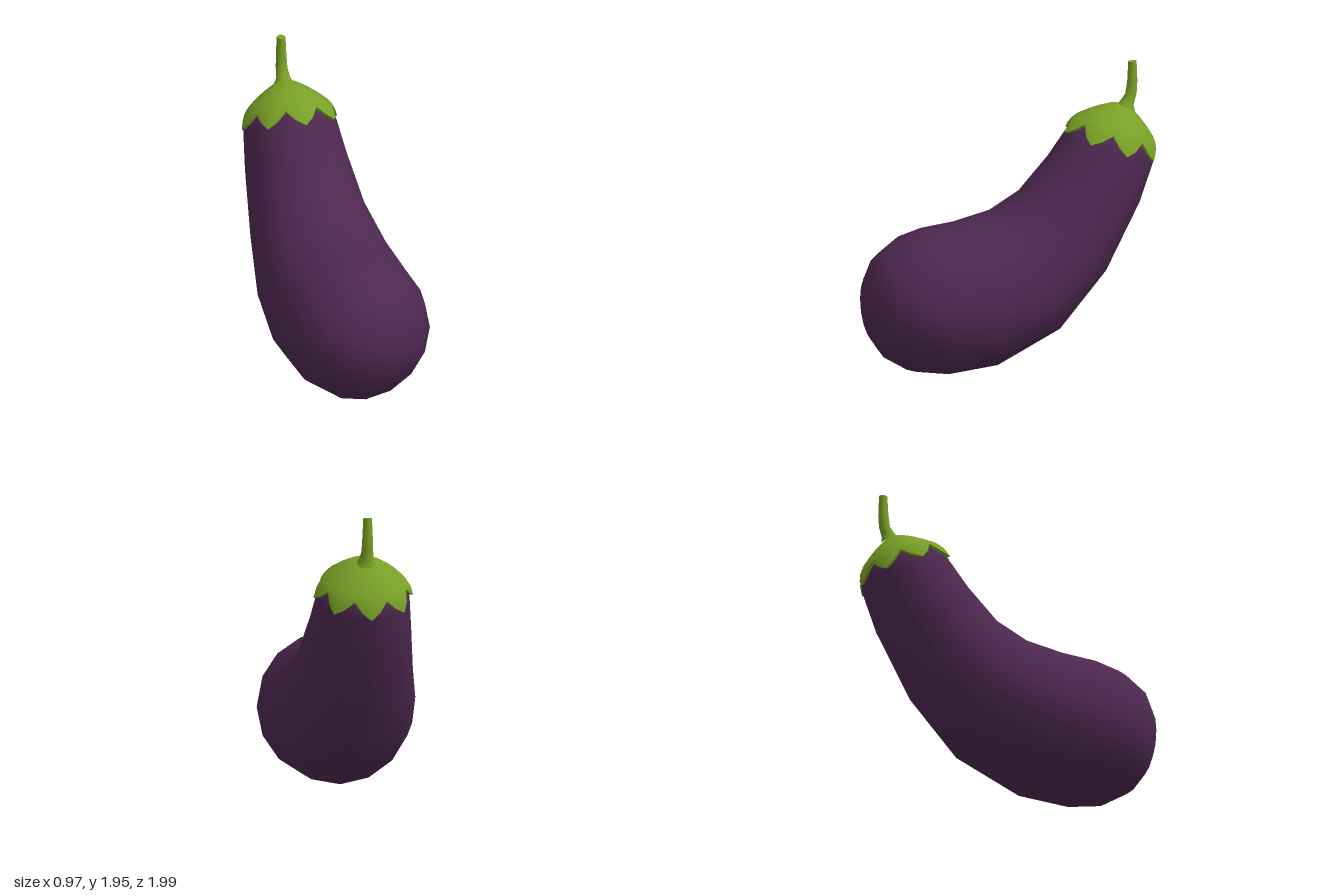
import * as THREE from 'three';
import { mergeVertices, toCreasedNormals } from 'three/addons/utils/BufferGeometryUtils.js';

const purple = new THREE.MeshStandardMaterial({ color: 0x4d2850 });
purple.name = 'aubergine purple';
const green = new THREE.MeshStandardMaterial({ color: 0x78a026 });
green.name = 'leaf green';

// Skin closed rows of points into one surface with smooth normals
function loft(rows) {
  const n = rows[0].length;
  const index = [];
  for (let i = 0; i < rows.length - 1; i++) {
    for (let j = 0; j < n; j++) {
      const a = i * n + j, b = i * n + (j + 1) % n;
      const c = b + n, d = a + n;
      if (rows[i][j].distanceTo(rows[i][(j + 1) % n]) > 1e-6) index.push(a, b, c);
      if (rows[i + 1][j].distanceTo(rows[i + 1][(j + 1) % n]) > 1e-6) index.push(a, c, d);
    }
  }
  const g = new THREE.BufferGeometry().setFromPoints(rows.flat());
  g.setIndex(index);
  const welded = mergeVertices(g, 1e-5);
  welded.computeVertexNormals();
  return welded;
}

// Circle whose lowest and highest points in the side plane are given
function ring(z0, y0, z1, y1, sides) {
  const r = Math.hypot(z1 - z0, y1 - y0) / 2;
  return Array.from({ length: sides }, (_, j) => {
    const a = j / sides * Math.PI * 2, k = Math.cos(a) / 2;
    return new THREE.Vector3(r * Math.sin(a), (y0 + y1) / 2 + (y1 - y0) * k, (z0 + z1) / 2 + (z1 - z0) * k);
  });
}

// Shoulder frame: centre of the fruit's top and its tilted axis
const CZ = -0.675, CY = 1.4, UZ = 0.944, UY = 0.33;
function shoulderPoint(a, r, t) {
  const u = r * Math.cos(a);
  return new THREE.Vector3(r * Math.sin(a), CY + u * UY + t * UZ, CZ + u * UZ - t * UY);
}

function addMesh(group, name, geometry, material) {
  const mesh = new THREE.Mesh(geometry, material);
  mesh.name = name;
  group.add(mesh);
}

function createBody() {
  // lower z, lower y, upper z, upper y from the blunt end to the shoulder
  const sections = [
    [0.998, 0.48, 0.998, 0.48],
    [0.985, 0.37, 0.99, 0.59],
    [0.95, 0.26, 0.95, 0.70],
    [0.87, 0.14, 0.87, 0.82],
    [0.71, 0.04, 0.71, 0.92],
    [0.49, 0.003, 0.55, 0.96],
    [0.15, 0.03, 0.33, 0.98],
    [-0.29, 0.23, 0.10, 1.03],
    [-0.62, 0.59, -0.09, 1.14],
    [-0.86, 1.03, -0.28, 1.35],
    [-0.96, 1.30, -0.39, 1.50],
  ];
  const rows = sections.map((s) => ring(...s, 16));
  // Rounded shoulder hidden by the cap
  for (const [r, t] of [[0.272, 0.08], [0.2, 0.15], [0.1, 0.205], [0, 0.225]]) {
    rows.push(rows[0].map((_, j) => shoulderPoint(j / 8 * Math.PI, r, t)));
  }
  return loft(rows);
}

function createCalyx() {
  const petals = 8, steps = 4;
  const reach = [1, 0.58, 0, 0.58]; // petal length from tip to notch and back
  // [radius, height] at a notch, then at a petal tip; inside first, then outside up to the apex
  const profile = [
    [0.2, 0.15, 0.2, 0.15],
    [0.258, 0.1, 0.306, 0.008],
    [0.275, 0.11, 0.326, 0.01],
    [0.264, 0.124, 0.304, 0.077],
    [0.25, 0.138, 0.262, 0.135],
    [0.2, 0.186, 0.2, 0.186],
    [0.14, 0.23, 0.14, 0.23],
    [0.07, 0.272, 0.07, 0.272],
    [0, 0.285, 0, 0.285],
  ];
  const rows = profile.map(([r0, t0, r1, t1]) =>
    Array.from({ length: petals * steps }, (_, j) => {
      const f = reach[j % steps];
      const a = j / (petals * steps) * Math.PI * 2;
      return shoulderPoint(a, THREE.MathUtils.lerp(r0, r1, f), THREE.MathUtils.lerp(t0, t1, f));
    }));
  return toCreasedNormals(loft(rows), 1.0);
}

function createStem() {
  // lower z, lower y, upper z, upper y of each cross-section
  const sections = [
    [-0.85, 1.62, -0.715, 1.655],
    [-0.842, 1.665, -0.75, 1.68],
    [-0.863, 1.74, -0.788, 1.73],
    [-0.868, 1.82, -0.8, 1.81],
    [-0.863, 1.95, -0.807, 1.944],
    [-0.835, 1.947, -0.835, 1.947],
  ];
  return toCreasedNormals(loft(sections.map((s) => ring(...s, 10))), 1.0);
}

export function createModel() {
  const group = new THREE.Group();
  group.name = 'aubergine';
  addMesh(group, 'body', createBody(), purple);
  addMesh(group, 'calyx', createCalyx(), green);
  addMesh(group, 'stem', createStem(), green);
  return group;
}
